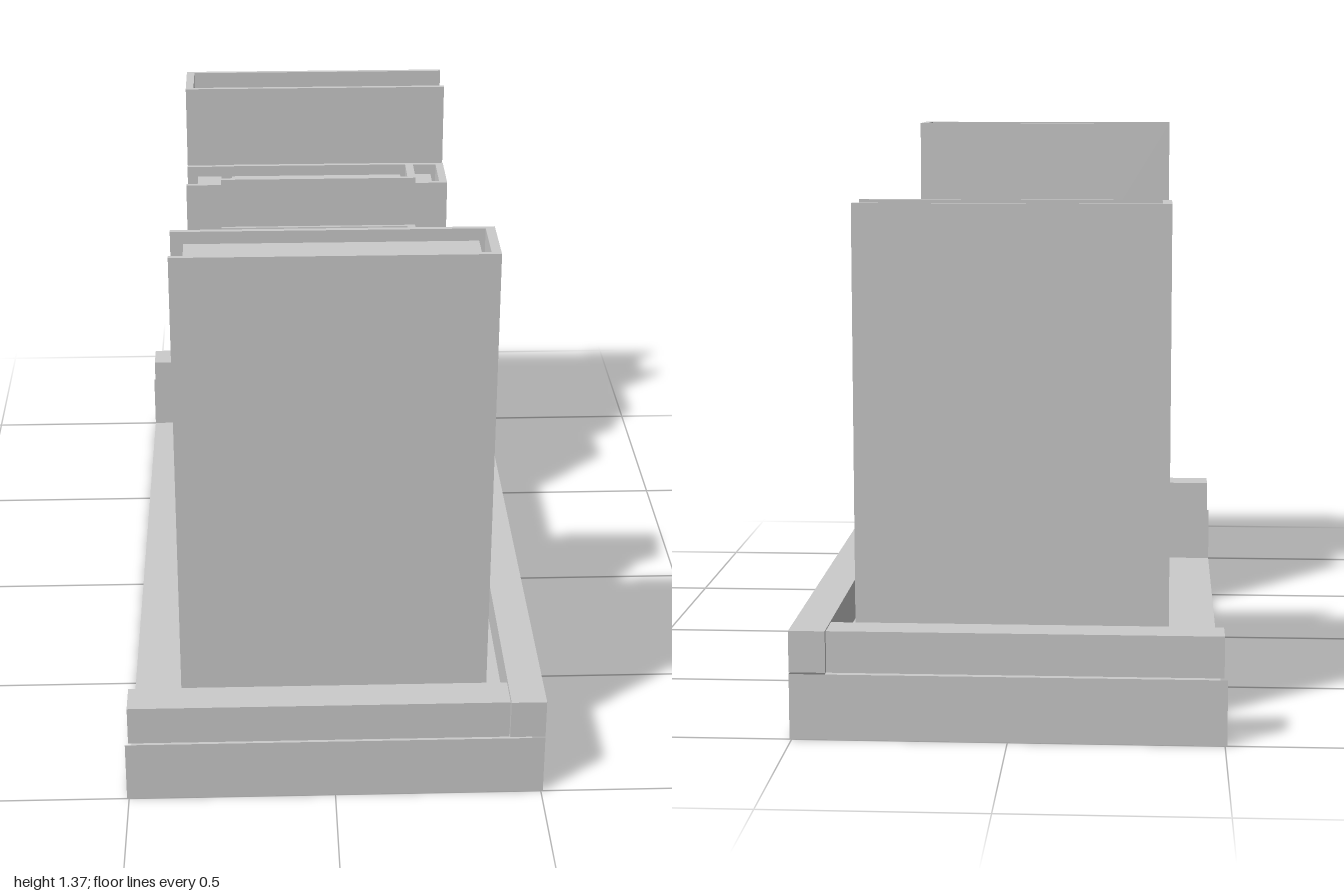
import * as THREE from 'three';

const grey = new THREE.MeshStandardMaterial({ color: 0xcccccc, flatShading: true, side: THREE.DoubleSide });

// Box given by its extents along each axis
function box(name, [x0, x1], [y0, y1], [z0, z1]) {
  const mesh = new THREE.Mesh(new THREE.BoxGeometry(x1 - x0, y1 - y0, z1 - z0), grey);
  mesh.position.set((x0 + x1) / 2, (y0 + y1) / 2, (z0 + z1) / 2);
  mesh.name = name;
  return mesh;
}

// Thin single-sheet panel
function panel(name, w, h, position, rx, ry) {
  const mesh = new THREE.Mesh(new THREE.PlaneGeometry(w, h), grey);
  mesh.position.set(...position);
  mesh.rotation.set(rx, ry, 0);
  mesh.name = name;
  return mesh;
}

// Two covers, a spine on one side and a recessed page block; origin at the bottom centre
function book({ z, y = 0.157, half, height, thick, spine, drop = 0.03, lean = 0 }) {
  const g = new THREE.Group();
  g.name = lean ? 'leaningBook' : 'book';
  const c = 0.012, t = thick / 2;
  for (const s of [-1, 1]) {
    const a = s * t, b = s * (t - c);
    g.add(box('cover', [-half, half], [0, height], [Math.min(a, b), Math.max(a, b)]));
  }
  const span = (a, b) => (spine > 0 ? [a, b] : [-b, -a]);
  g.add(box('spine', span(half - 0.022, half), [0, height], [c - t, t - c]));
  g.add(box('pages', span(0.03 - half, half - 0.036), [drop, height - drop], [c - t, t - c]));
  g.position.set(0, y, z);
  g.rotation.x = lean;
  return g;
}

export function createModel() {
  const model = new THREE.Group();
  model.name = 'bookTray';

  // Tray base: a shallow shell, open on top and along the -x side
  const W = 0.505, H = 0.155;
  const base = new THREE.Group();
  base.name = 'base';
  base.add(panel('floor', 2 * W, 2, [0, 0, 0], -Math.PI / 2, 0));
  base.add(panel('sideWall', 2, H, [W, H / 2, 0], 0, Math.PI / 2));
  for (const s of [-1, 1]) {
    base.add(panel('endWall', 2 * W, H, [0, H / 2, s], 0, s > 0 ? 0 : Math.PI));
  }
  model.add(base);

  // Rails above the base
  model.add(box('sideRail', [0.42, W], [0.159, 0.257], [-1, 1]));
  model.add(box('backRail', [-0.497, 0.418], [0.159, 0.257], [-0.998, -0.912]));
  model.add(box('frontRail', [-0.497, 0.418], [0.159, 0.257], [0.912, 0.998]));

  // Books from back to front; spine is the side the spine faces along x
  const books = [
    { z: -0.762, half: 0.37, height: 1.073, thick: 0.158, spine: -1, drop: 0.05 },
    { z: -0.585, half: 0.37, height: 0.848, thick: 0.16, spine: 1 },
    { z: -0.435, half: 0.27, height: 0.913, thick: 0.118, spine: 1 },
    { z: -0.231, y: 0.162, half: 0.27, height: 0.782, thick: 0.118, spine: 1, lean: -0.094 },
    { z: 0.24, y: 0.166, half: 0.27, height: 0.926, thick: 0.117, spine: 1, lean: 0.157 },
    { z: 0.49, half: 0.27, height: 0.783, thick: 0.116, spine: -1 },
    { z: 0.643, half: 0.37, height: 0.848, thick: 0.16, spine: -1 },
    { z: 0.81, half: 0.37, height: 1.215, thick: 0.163, spine: 1 },
  ];
  for (const b of books) model.add(book(b));
  return model;
}
